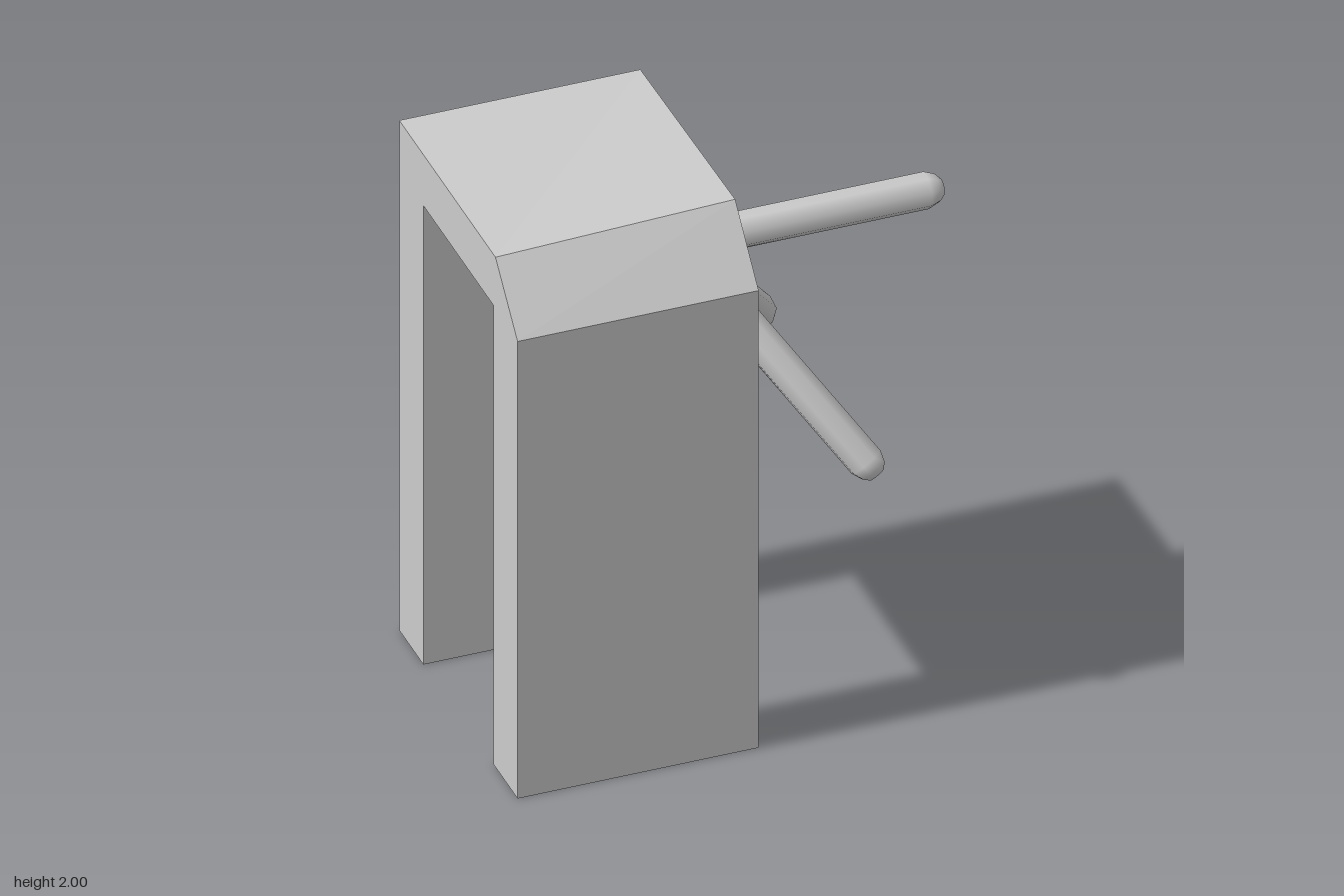
import * as THREE from 'three';

const material = new THREE.MeshStandardMaterial({ color: 0xcccccc });

function addMesh(parent, name, geometry, mat = material) {
  const mesh = new THREE.Mesh(geometry, mat);
  mesh.name = name;
  parent.add(mesh);
  return mesh;
}

// Arch: side profile (z, y) extruded along x, open towards the floor
function archGeometry() {
  const xMin = -0.847, xMax = -0.008;
  const profile = [
    [0.522, 0], [0.522, 1.775], [0.31, 2], [-0.547, 1.98],
    [-0.547, 0], [-0.329, 0], [-0.329, 1.782], [0.302, 1.782], [0.302, 0],
  ];
  // shape x holds -z, so the extrusion turns by 90 degrees onto the x axis
  const shape = new THREE.Shape(profile.map(([z, y]) => new THREE.Vector2(-z, y)));
  const geometry = new THREE.ExtrudeGeometry(shape, { depth: xMax - xMin, bevelEnabled: false });
  geometry.rotateY(Math.PI / 2).translate(xMin, 0, 0);
  // the ridge of the chamfer drops slightly towards the far end
  const p = geometry.attributes.position;
  for (let i = 0; i < p.count; i++) {
    if (p.getY(i) > 1.99 && p.getX(i) < -0.5) {
      p.setY(i, 1.98);
      p.setZ(i, 0.322);
    }
  }
  geometry.computeVertexNormals();
  return geometry;
}

// Eight-sided rod with a rounded tip, running from start to the tip centre
function addRod(parent, name, start, end) {
  const a = new THREE.Vector3(...start), b = new THREE.Vector3(...end);
  const length = a.distanceTo(b);
  const profile = [
    [0, 0], [0.063, 0], [0.063, length], [0.049, length + 0.036],
    [0.03, length + 0.055], [0, length + 0.059],
  ].map(([r, y]) => new THREE.Vector2(r, y));
  const rod = addMesh(parent, name, new THREE.LatheGeometry(profile, 8, Math.PI / 8));
  rod.position.copy(a);
  rod.quaternion.setFromUnitVectors(new THREE.Vector3(0, 1, 0), b.sub(a).normalize());
}

export function createModel() {
  const model = new THREE.Group();
  model.name = 'archWithRods';

  addMesh(model, 'arch', archGeometry());

  // Ball under the lintel, carrying three rods
  const ball = addMesh(model, 'ball', new THREE.SphereGeometry(0.205, 32, 20));
  ball.position.set(-0.125, 1.61, 0.02);

  addRod(model, 'upperRod', [-0.1, 1.65, -0.015], [0.781, 1.65, -0.015]);
  addRod(model, 'frontRod', [-0.05, 1.6, 0.055], [0.38, 0.995, 0.485]);
  addRod(model, 'backRod', [-0.05, 1.59, -0.055], [0.38, 0.985, -0.488]);

  return model;
}
